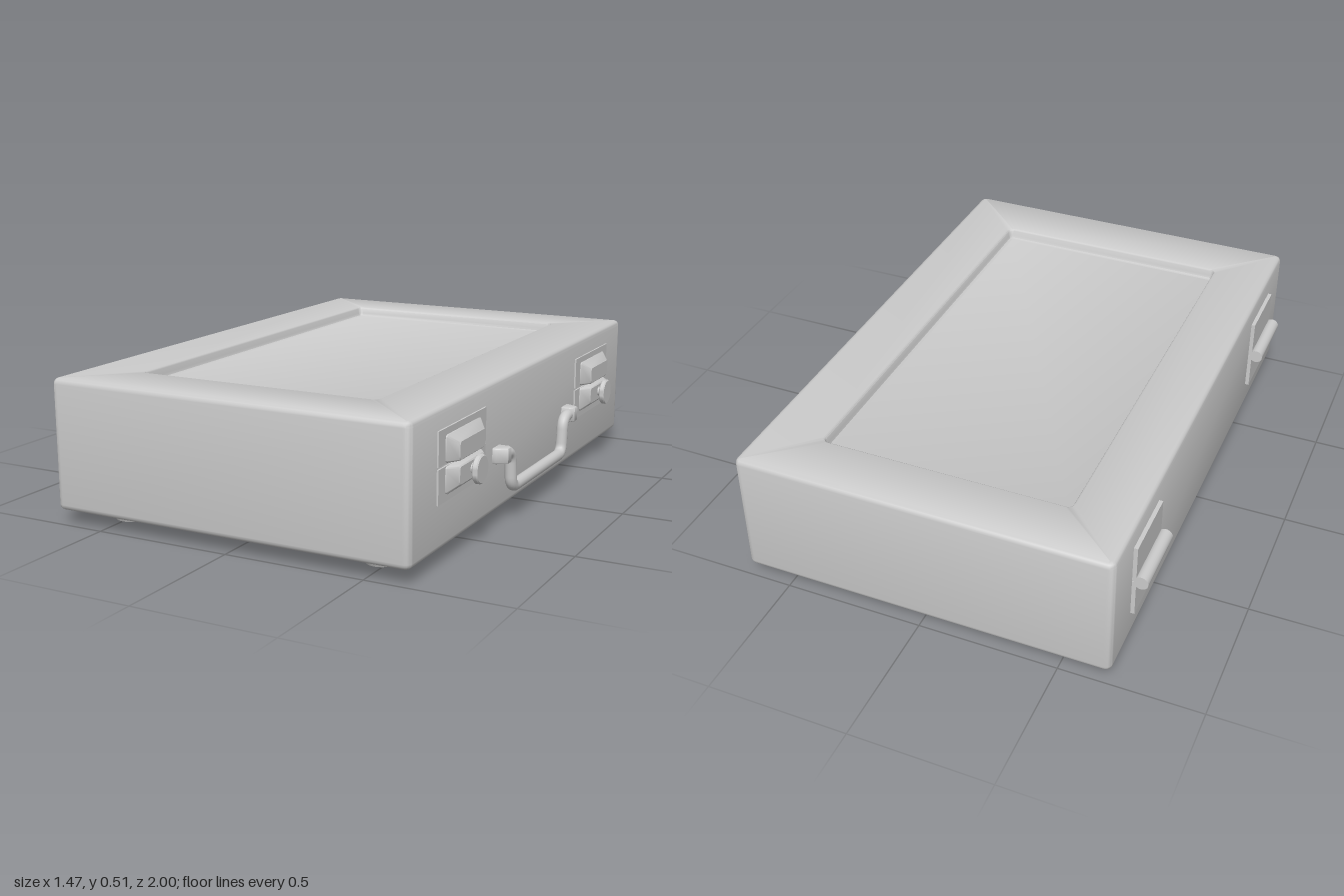
import * as THREE from 'three';
import { toCreasedNormals } from 'three/addons/utils/BufferGeometryUtils.js';

const grey = new THREE.MeshStandardMaterial({ color: 0xcccccc });

// Rounded rectangle outline, counter-clockwise seen from above
function outline(w, d, r, steps = 5) {
  const pts = [];
  const corners = [[1, 1], [1, -1], [-1, -1], [-1, 1]];
  corners.forEach(([sx, sz], c) => {
    for (let i = 0; i <= steps; i++) {
      const a = Math.PI / 2 * (1 - c - i / steps);
      pts.push([sx * (w / 2 - r) + r * Math.cos(a), sz * (d / 2 - r) + r * Math.sin(a)]);
    }
  });
  return pts;
}

// Skin through rings { w, d, r, y, x, z } from bottom to top, capped as asked
function loft(rings, capStart, crease = 0.6) {
  const pos = [], idx = [];
  const n = outline(1, 1, 0.1).length;
  rings.forEach(({ w, d, r, y, x = 0, z = 0 }) =>
    outline(w, d, r).forEach(([px, pz]) => pos.push(px + x, y, pz + z)));
  for (let k = 0; k < rings.length - 1; k++) {
    for (let i = 0; i < n; i++) {
      const j = (i + 1) % n, a = k * n, b = a + n;
      idx.push(a + i, a + j, b + j, a + i, b + j, b + i);
    }
  }
  const last = (rings.length - 1) * n;
  for (let i = 1; i < n - 1; i++) {
    idx.push(last, last + i, last + i + 1);
    if (capStart) idx.push(0, i + 1, i);
  }
  const g = new THREE.BufferGeometry();
  g.setAttribute('position', new THREE.Float32BufferAttribute(pos, 3));
  g.setIndex(idx);
  return toCreasedNormals(g, crease);
}

function add(parent, name, geo, x = 0, y = 0, z = 0) {
  const m = new THREE.Mesh(geo, grey);
  m.name = name;
  m.position.set(x, y, z);
  parent.add(m);
  return m;
}

// Case with rounded edges and a sunken panel in the lid
function caseGeometry() {
  const W = 1.335, D = 2, R = 0.02, rings = [];
  const edge = (a, y) => {
    const inset = R * (1 - Math.cos(a));
    rings.push({ w: W - 2 * inset, d: D - 2 * inset, r: 0.025 - inset, y });
  };
  for (let i = 4; i >= 0; i--) edge(i * Math.PI / 8, 0.05 + R * (1 - Math.sin(i * Math.PI / 8)));
  for (let i = 0; i <= 4; i++) edge(i * Math.PI / 8, 0.51 - R * (1 - Math.sin(i * Math.PI / 8)));
  const panel = [[0, 0.51], [0.004, 0.508], [0.007, 0.503], [0.01, 0.485], [0.014, 0.476], [0.022, 0.472]];
  panel.forEach(([s, y]) =>
    rings.push({ w: 0.905 - 2 * s, d: 1.585 - 2 * s, r: 0.025 - s, y, x: -0.0025, z: -0.008 }));
  return loft(rings, true, 0.6);
}

// One half of a latch: thin plate with a raised bevelled block
function latchHalf(parent, name, plateY, blockY, topY) {
  add(parent, name + 'Plate', new THREE.BoxGeometry(0.006, 0.114, 0.37), 0.003, plateY, 0);
  const block = loft([
    { w: 0.09, d: 0.27, r: 0.012, y: 0 },
    { w: 0.09, d: 0.27, r: 0.012, y: 0.01 },
    { w: 0.066, d: 0.205, r: 0.012, y: 0.036, x: topY },
    { w: 0.058, d: 0.195, r: 0.01, y: 0.04, x: topY },
  ], false, 0.5);
  add(parent, name + 'Block', block, 0, blockY, 0).rotation.z = -Math.PI / 2;
}

function makeLatch(z) {
  const latch = new THREE.Group();
  latch.name = 'latch';
  latch.position.set(0.655, 0, z);
  latchHalf(latch, 'upper', 0.384, 0.374, 0.01);
  latchHalf(latch, 'lower', 0.262, 0.273, -0.01);
  const stem = new THREE.CylinderGeometry(0.018, 0.018, 0.05, 20).rotateZ(Math.PI / 2);
  add(latch, 'knobStem', stem, 0.04, 0.285, 0);
  const knob = new THREE.LatheGeometry([
    [0, -0.01], [0.044, -0.01], [0.048, -0.006], [0.048, 0.006], [0.044, 0.01], [0, 0.01],
  ].map(p => new THREE.Vector2(...p)), 32);
  add(latch, 'knob', toCreasedNormals(knob, 0.5), 0.065, 0.285, 0).rotation.z = -Math.PI / 2;
  return latch;
}

// Tubular handle with rounded bends, hanging between two mounts
function makeHandle() {
  const handle = new THREE.Group();
  handle.name = 'handle';
  handle.position.x = 0.678;
  const half = [[0.255, 0.345], [0.252, 0.262], [0.12, 0.25]]
    .map(([y, z]) => new THREE.Vector3(0, y, z));
  const corners = [...half, ...half.slice().reverse().map(p => new THREE.Vector3(0, p.y, -p.z))];
  const path = new THREE.CurvePath();
  let from = corners[0];
  for (let i = 1; i < corners.length - 1; i++) {
    const c = corners[i];
    const toward = p => c.clone().add(p.clone().sub(c).setLength(0.04));
    const a = toward(corners[i - 1]), b = toward(corners[i + 1]);
    path.add(new THREE.LineCurve3(from, a));
    path.add(new THREE.QuadraticBezierCurve3(a, c, b));
    from = b;
  }
  path.add(new THREE.LineCurve3(from, corners[corners.length - 1]));
  add(handle, 'grip', new THREE.TubeGeometry(path, 160, 0.021, 16, false));

  // Mounts slope back to the case at their outer ends
  for (const s of [1, -1]) {
    const shape = new THREE.Shape([[-0.025, 0.31], [0.012, 0.31], [0.022, 0.32], [0.022, 0.345], [-0.012, 0.365], [-0.025, 0.365]]
      .map(([x, z]) => new THREE.Vector2(x, -z * s)));
    const g = new THREE.ExtrudeGeometry(shape, {
      depth: 0.042, bevelEnabled: true, bevelThickness: 0.006, bevelSize: 0.004, bevelSegments: 3,
    }).rotateX(-Math.PI / 2);
    add(handle, 'handleMount', toCreasedNormals(g, 0.7), 0, 0.234, 0);
  }
  return handle;
}

function makeHinge(z) {
  const hinge = new THREE.Group();
  hinge.name = 'hinge';
  hinge.position.set(-0.68, 0.295, z);
  for (const s of [1, -1]) {
    add(hinge, 'hingeLeaf', new THREE.BoxGeometry(0.014, 0.138, 0.25), -0.007, s * 0.071, 0);
  }
  const barrel = new THREE.CylinderGeometry(0.025, 0.025, 0.25, 24).rotateX(Math.PI / 2);
  add(hinge, 'hingeBarrel', barrel, -0.03, 0, 0);
  return hinge;
}

export function createModel() {
  const model = new THREE.Group();
  model.name = 'briefcase';
  add(model, 'case', caseGeometry(), -0.0125, 0, 0);

  // Tapered feet
  const foot = new THREE.CylinderGeometry(0.08, 0.054, 0.055, 32);
  for (const x of [-0.5, 0.475]) {
    for (const z of [0.825, -0.81]) add(model, 'foot', foot, x, 0.0275, z);
  }

  model.add(makeLatch(0.627), makeLatch(-0.627), makeHandle(), makeHinge(0.685), makeHinge(-0.695));
  return model;
}
